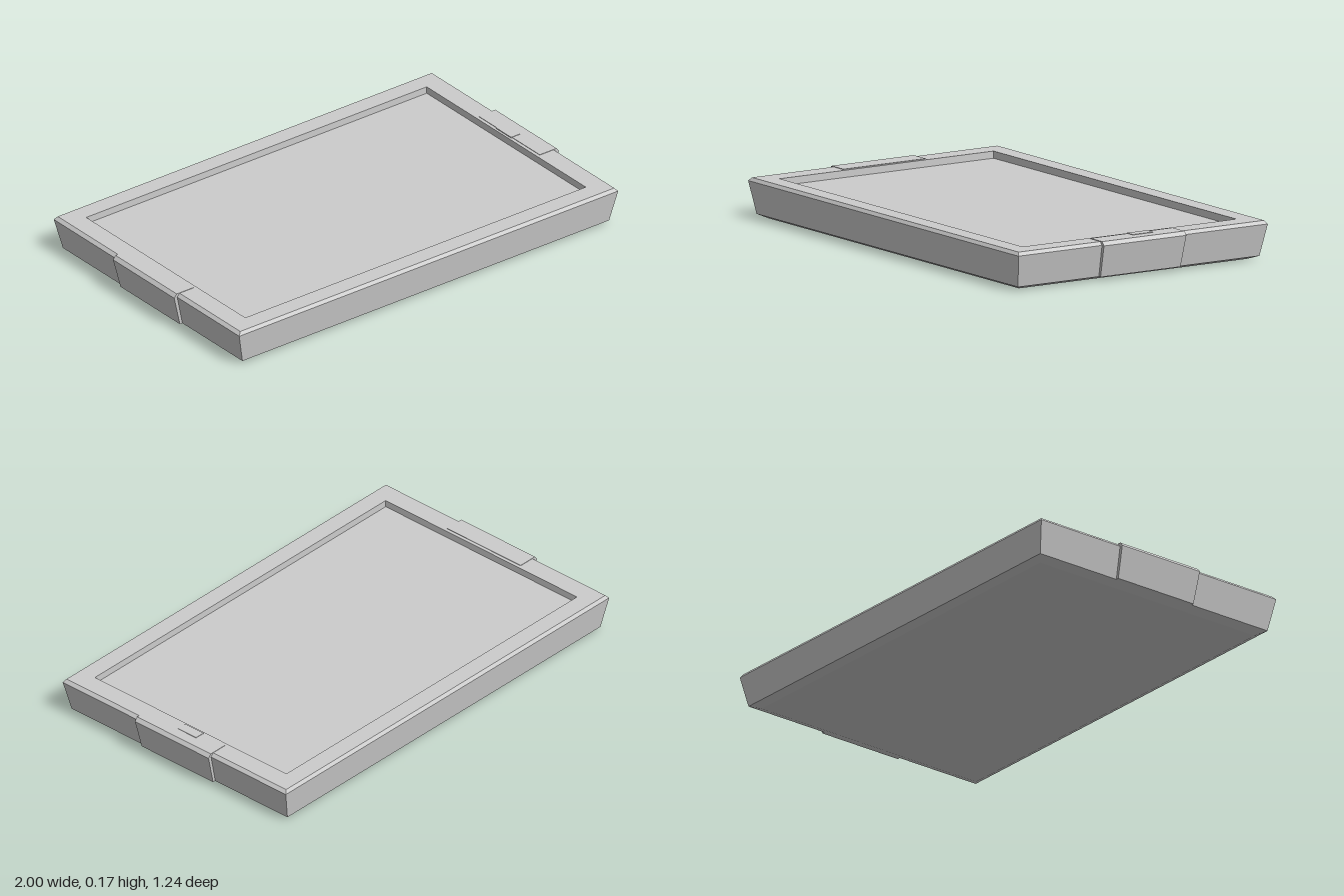
import * as THREE from 'three';

// Lofts rectangular sections [y, x0, x1, halfZ, zCentre] in order and caps both ends.
function loft(name, sections, material) {
  const pos = [];
  const rings = sections.map(([y, x0, x1, hz, zc = 0]) => [
    [x0, y, zc + hz], [x1, y, zc + hz], [x1, y, zc - hz], [x0, y, zc - hz],
  ]);
  const quad = (a, b, c, d) => pos.push(...a, ...b, ...c, ...a, ...c, ...d);
  for (let i = 0; i < rings.length - 1; i++) {
    for (let k = 0; k < 4; k++) {
      const n = (k + 1) % 4;
      quad(rings[i][k], rings[i][n], rings[i + 1][n], rings[i + 1][k]);
    }
  }
  const first = rings[0];
  quad(first[3], first[2], first[1], first[0]);
  quad(...rings[rings.length - 1]);
  const geometry = new THREE.BufferGeometry();
  geometry.setAttribute('position', new THREE.Float32BufferAttribute(pos, 3));
  geometry.computeVertexNormals();
  const mesh = new THREE.Mesh(geometry, material);
  mesh.name = name;
  return mesh;
}

export function createModel() {
  const group = new THREE.Group();
  group.name = 'tray';
  const grey = new THREE.MeshStandardMaterial({ color: 0xcccccc, flatShading: true });

  // Tray: chamfered base, flared walls, bevelled rim, then the sunken panel
  group.add(loft('trayBody', [
    [0, -0.91, 0.91, 0.565],
    [0.016, -0.953, 0.953, 0.598],
    [0.152, -0.985, 0.985, 0.618],
    [0.166, -0.972, 0.972, 0.608],
    [0.166, -0.885, 0.885, 0.53],
    [0.136, -0.885, 0.885, 0.53],
  ], grey));

  // Raised grip tab at the middle of each short end
  for (const side of [1, -1]) {
    const section = (y, inner, outer, hz) =>
      side > 0 ? [y, inner, outer, hz] : [y, -outer, -inner, hz];
    group.add(loft(side > 0 ? 'leftGrip' : 'rightGrip', [
      section(0.016, 0.9, 0.966, 0.198),
      section(0.152, 0.9, 1, 0.204),
      section(0.168, 0.9, 0.987, 0.204),
    ], grey));
  }

  // Small button plate on the rim
  group.add(loft('buttonPlate', [
    [0.16, 0.895, 0.94, 0.05, -0.03],
    [0.17, 0.895, 0.94, 0.05, -0.03],
  ], grey));

  return group;
}
